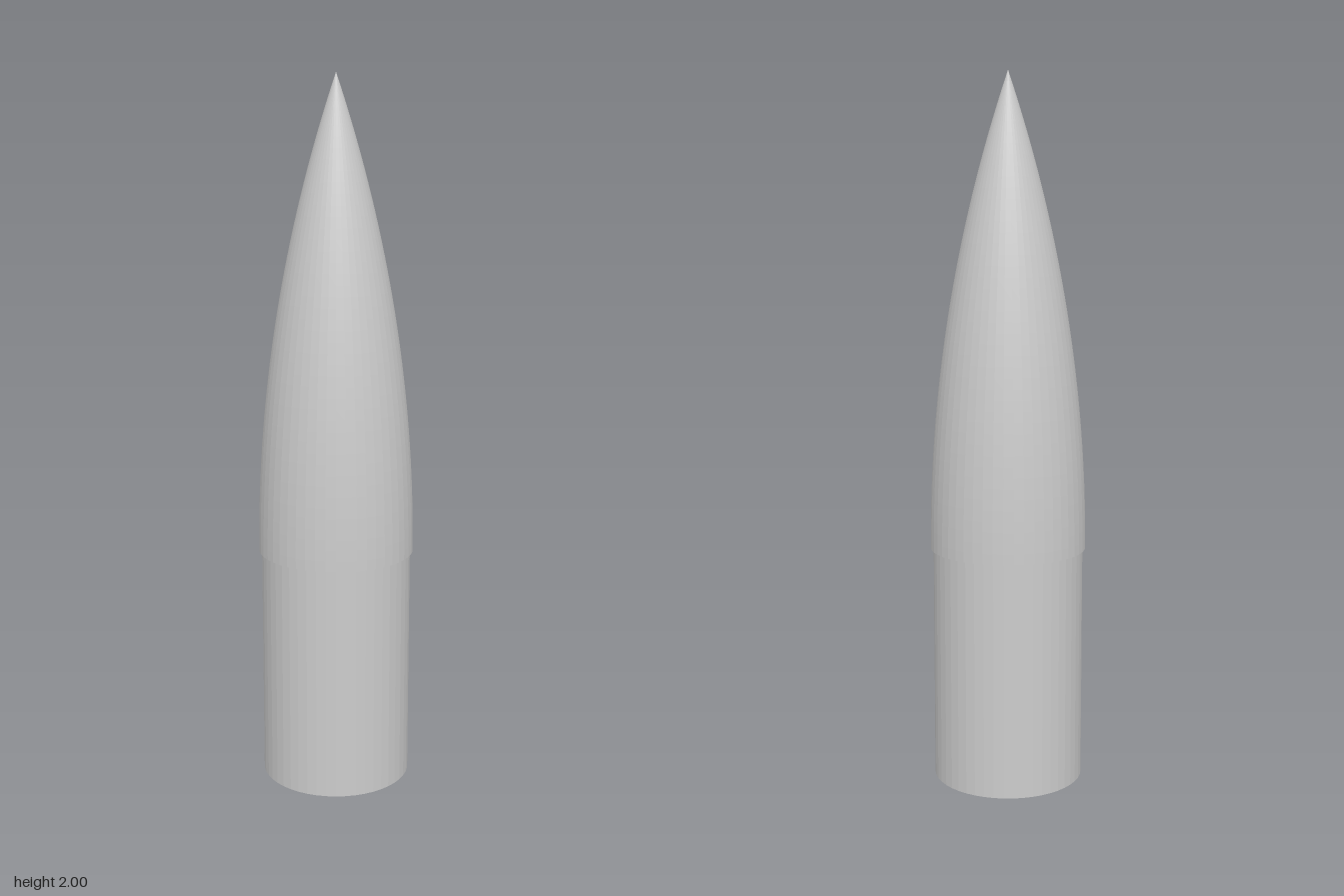
import * as THREE from 'three';

const SEGMENTS = 48;
const BASE_R = 0.221, BASE_Y = 0.67, LENGTH = 2 - BASE_Y; // nose cone
const SEAM_Y = 1.86;                                      // where the solid tip starts
const SHOULDER_R = 0.213, WALL = 0.006;

// Tangent ogive: radius of the nose at height y
const RHO = (BASE_R ** 2 + LENGTH ** 2) / (2 * BASE_R);
const ogive = (y) => Math.max(0, Math.sqrt(RHO ** 2 - (y - BASE_Y) ** 2) + BASE_R - RHO);

function ogivePoints(from, to, steps, inset = 0) {
  const points = [];
  for (let i = 0; i <= steps; i++) {
    const y = from + (to - from) * i / steps;
    points.push([ogive(y) - inset, y]);
  }
  return points;
}

export function createModel() {
  const model = new THREE.Group();
  const material = new THREE.MeshStandardMaterial({ color: 0xcccccc, flatShading: true });

  const addLathe = (name, profile) => {
    const points = profile.map(([r, y]) => new THREE.Vector2(Math.max(0, r), y));
    const mesh = new THREE.Mesh(new THREE.LatheGeometry(points, SEGMENTS), material);
    mesh.name = name;
    model.add(mesh);
  };

  const inner = SHOULDER_R - WALL;

  // Open tube that slides into the body: inside wall, bottom rim, outside wall
  addLathe('shoulder', [[inner, BASE_Y], [inner, 0], [SHOULDER_R, 0], [SHOULDER_R, BASE_Y]]);

  // Curved shell with its small step over the shoulder
  addLathe('noseShell', [[SHOULDER_R, BASE_Y], ...ogivePoints(BASE_Y, SEAM_Y, 40)]);

  // Hollow inside of the shell, closed by the underside of the tip
  addLathe('noseCavity', [
    [0, SEAM_Y],
    ...ogivePoints(SEAM_Y, BASE_Y, 30, BASE_R - inner),
  ]);

  // Solid pointed tip
  addLathe('tip', [...ogivePoints(SEAM_Y, 2, 6).slice(0, -1), [0, 2]]);

  return model;
}
